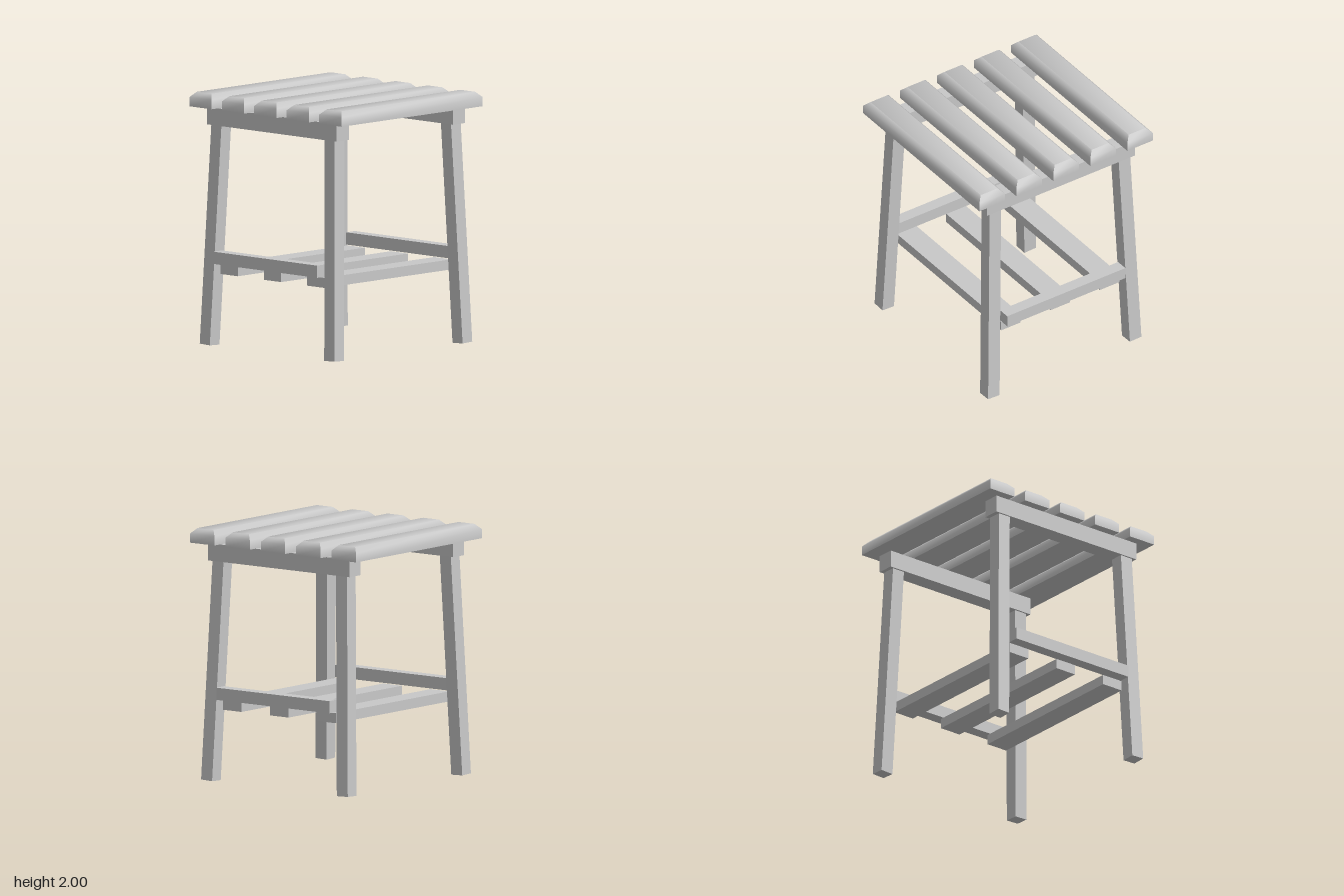
import * as THREE from 'three';
import { toCreasedNormals } from 'three/addons/utils/BufferGeometryUtils.js';

export function createModel() {
  const model = new THREE.Group();
  model.name = 'slattedStool';
  const wood = new THREE.MeshStandardMaterial({ color: 0xc8c8c8 });
  wood.name = 'plain grey wood';

  const add = (name, geometry, x, y, z) => {
    const mesh = new THREE.Mesh(geometry, wood);
    mesh.name = name;
    mesh.position.set(x, y, z);
    model.add(mesh);
    return mesh;
  };

  // Seat slat: a box whose upper edges are bevelled, softly shaded over the top
  const bevel = 0.042, height = 0.115;
  const box = new THREE.BoxGeometry(1.6, height, 0.244, 1, 2, 1);
  const p = box.attributes.position;
  for (let i = 0; i < p.count; i++) {
    if (Math.abs(p.getY(i)) < 0.001) {
      p.setY(i, height / 2 - bevel);
    } else if (p.getY(i) > 0) {
      p.setX(i, p.getX(i) - Math.sign(p.getX(i)) * bevel);
      p.setZ(i, p.getZ(i) - Math.sign(p.getZ(i)) * bevel);
    }
  }
  const slat = toCreasedNormals(box, THREE.MathUtils.degToRad(52));
  for (let i = -2; i <= 2; i++) add('seatSlat', slat, 0, 2 - height / 2, i * 0.354);

  const seatRail = new THREE.BoxGeometry(0.138, 0.138, 1.415);
  const sideRail = new THREE.BoxGeometry(0.1, 0.097, 1.13);
  const legLength = 1.75;
  const leg = new THREE.BoxGeometry(0.11, legLength, 0.11);

  for (const sx of [1, -1]) {
    // Rails under the seat and side rails outside the legs
    add('seatRail', seatRail, sx * 0.659, 1.816, 0);
    add('sideRail', sideRail, sx * 0.753, 0.709, 0);
    // Splayed legs
    for (const sz of [1, -1]) {
      const mesh = add('leg', leg, sx * 0.693, 0.004 + legLength / 2, sz * 0.648);
      mesh.rotation.set(-sz * 0.035, 0, sx * 0.039);
    }
  }

  // Lower shelf slats
  const shelfSlat = new THREE.BoxGeometry(1.44, 0.08, 0.187);
  for (let i = -1; i <= 1; i++) add('shelfSlat', shelfSlat, 0, 0.612, i * 0.472);

  return model;
}
